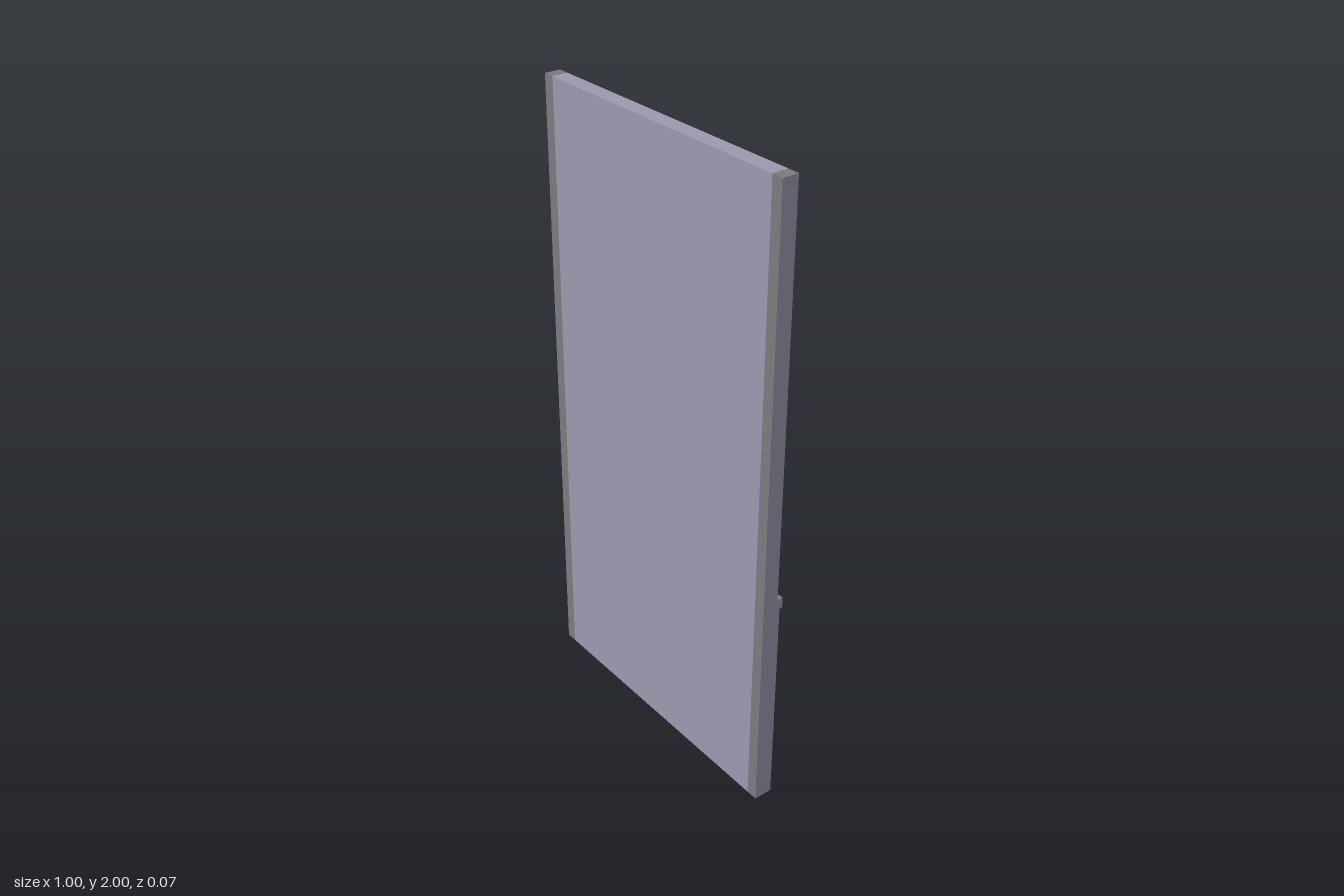
import * as THREE from 'three';

const paint = (color) => new THREE.MeshStandardMaterial({ color });

export function createModel() {
  const wall = paint(0x9e98ae);
  const trim = paint(0x7c7c7c);
  const panel = paint(0xcccccc);
  const group = new THREE.Group();

  const HALF = 0.5, STRIP = 0.037;

  // One horizontal layer: a centre field with a dark strip at each end
  function layer(name, y0, y1, zBack, zFront, material) {
    const part = new THREE.Group();
    part.name = name;
    const add = (meshName, width, x, mat) => {
      const mesh = new THREE.Mesh(new THREE.BoxGeometry(width, y1 - y0, zFront - zBack), mat);
      mesh.name = meshName;
      mesh.position.set(x, (y0 + y1) / 2, (zBack + zFront) / 2);
      part.add(mesh);
    };
    add('field', 2 * (HALF - STRIP), 0, material);
    for (const side of [1, -1]) {
      // Outer end faces take the wall colour, the rest is trim
      const mats = [wall, wall, trim, trim, trim, trim];
      add(side > 0 ? 'leftStrip' : 'rightStrip', STRIP, side * (HALF - STRIP / 2), mats);
    }
    group.add(part);
  }

  layer('wallSlab', 0, 2, -0.016, 0.035, wall);
  layer('lowerPanel', 0, 0.7, -0.025, -0.016, panel);
  layer('chairRail', 0.7, 0.735, -0.035, -0.016, panel);

  return group;
}
